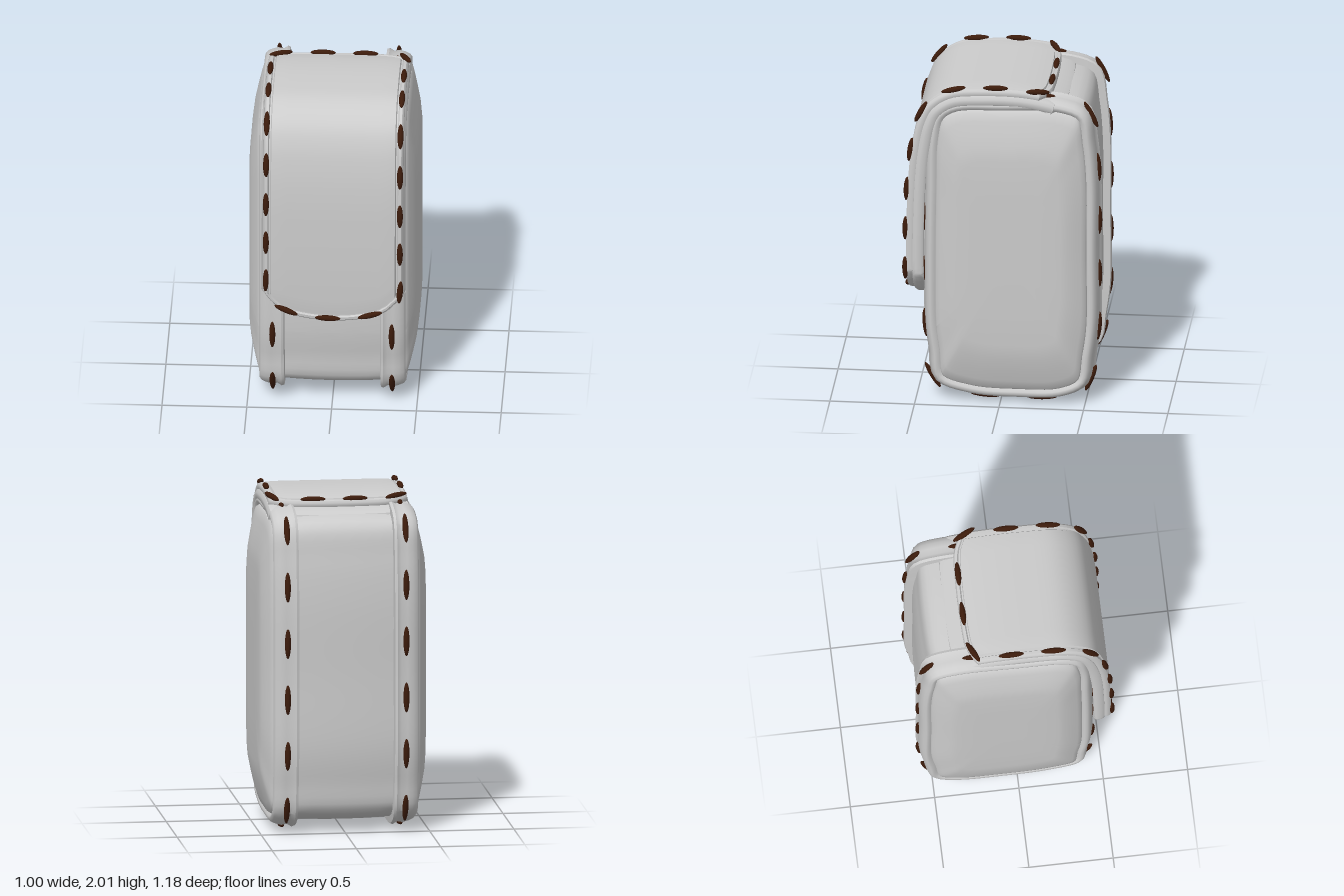
import * as THREE from 'three';
import { mergeVertices, toCreasedNormals } from 'three/addons/utils/BufferGeometryUtils.js';

const grey = new THREE.MeshStandardMaterial({ color: 0xcccccc, side: THREE.DoubleSide });
const thread = new THREE.MeshStandardMaterial({ color: 0x3d1c0c });

// Grid surface: fn(i, j) gives the point; i runs to the right, j runs up
function sheet(name, ni, nj, fn, crease = 0) {
  const pos = [], idx = [];
  for (let j = 0; j <= nj; j++) for (let i = 0; i <= ni; i++) pos.push(...fn(i, j).toArray());
  for (let j = 0; j < nj; j++) for (let i = 0; i < ni; i++) {
    const a = j * (ni + 1) + i, b = a + 1, d = a + ni + 1, c = d + 1;
    idx.push(a, b, c, a, c, d);
  }
  let geo = new THREE.BufferGeometry();
  geo.setAttribute('position', new THREE.Float32BufferAttribute(pos, 3));
  geo.setIndex(idx);
  geo = mergeVertices(geo, 1e-5);
  if (crease) geo = toCreasedNormals(geo, crease);
  else geo.computeVertexNormals();
  const mesh = new THREE.Mesh(geo, grey);
  mesh.name = name;
  return mesh;
}

// Path of [z, y] points; at(x, u, h) is a point at arc length u, raised by h
function rail(points, closed) {
  const curve = new THREE.CatmullRomCurve3(points.map(([z, y]) => new THREE.Vector3(0, y, z)), closed);
  curve.arcLengthDivisions = 800;
  const length = curve.getLength();
  const at = (x, u, h) => {
    const t = THREE.MathUtils.clamp(u / length, 0, 1);
    const p = curve.getPointAt(t), d = curve.getTangentAt(t);
    return new THREE.Vector3(x, p.y - d.z * h, p.z + d.y * h);
  };
  return { at, length };
}

// Evenly spaced thread stitches along a closed curve
function stitches(name, points, count, length) {
  const group = new THREE.Group();
  group.name = name;
  const curve = new THREE.CatmullRomCurve3(points, true);
  const geo = new THREE.SphereGeometry(1, 8, 8);
  for (let k = 0; k < count; k++) {
    const m = new THREE.Mesh(geo, thread);
    m.name = 'stitch';
    m.position.copy(curve.getPointAt(k / count));
    m.quaternion.setFromUnitVectors(new THREE.Vector3(0, 1, 0), curve.getTangentAt(k / count));
    m.scale.set(0.018, length / 2, 0.018);
    group.add(m);
  }
  return group;
}

// Padded flap layer with rounded ends; edge lists [inset, height] from the rim inwards
function flapLayer(name, path, W, lo, hi, edge) {
  const n = edge.length, mid = 14, long = 48;
  const ni = 2 * n + mid - 1, nj = 2 * n + long - 1;
  const spread = (k, total, inner, a, b) => {
    if (k < n) return a + edge[k][0];
    if (k > total - n) return b - edge[total - k][0];
    const d = edge[n - 1][0];
    return THREE.MathUtils.lerp(a + d, b - d, (k - n + 1) / (inner + 1));
  };
  return sheet(name, ni, nj, (i, j) => {
    const x = spread(i, ni, mid, -W, W);
    const u = spread(j, nj, long, lo(x), hi(x));
    const ring = Math.min(i, ni - i, j, nj - j, n - 1);
    return path.at(x + 0.01, u, edge[ring][1]);
  }, 0.7);
}

export function createModel() {
  const model = new THREE.Group();
  model.name = 'pouch';

  // Body outline seen from the side, going up the front and round the back
  const body = rail([
    [0.43, 0.46], [0.435, 0.8], [0.43, 1.3], [0.42, 1.65], [0.38, 1.81], [0.28, 1.88], [0, 1.9],
    [-0.36, 1.9], [-0.5, 1.84], [-0.54, 1.65], [-0.56, 1.4], [-0.56, 0.95], [-0.56, 0.5],
    [-0.535, 0.3], [-0.5, 0.12], [-0.36, 0.045], [-0.1, 0.03], [0.18, 0.045], [0.38, 0.12], [0.41, 0.3],
  ], true);
  const N = 120, L = body.length;

  // Centre band wrapping front, top, back and bottom
  const band = [-0.31, -0.2, -0.1, 0, 0.1, 0.2, 0.31];
  model.add(sheet('centreBand', band.length - 1, N, (i, j) =>
    body.at(band[i], j / N * L, -0.01 - 0.12 * band[i] ** 2)));

  // Raised seam rims and padded side panels
  const rim = [[0.28, -0.03], [0.285, 0.022], [0.3, 0.028], [0.325, 0.012], [0.36, 0.018], [0.395, 0.008],
    [0.42, -0.004], [0.432, -0.02], [0.43, -0.035], [0.415, -0.052]];
  const puff = [[1, 0.415], [0.985, 0.435], [0.93, 0.45], [0.85, 0.468], [0.76, 0.486], [0.66, 0.497],
    [0.4, 0.5], [0, 0.5]];
  for (const side of [1, -1]) {
    const label = side > 0 ? 'left' : 'right';
    const order = list => (side > 0 ? list : [...list].reverse());
    const r = order(rim), p = order(puff);
    model.add(sheet(label + 'SeamRim', r.length - 1, N, (i, j) =>
      body.at(side * r[i][0], j / N * L, r[i][1]), 0.8));
    model.add(sheet(label + 'SidePanel', p.length - 1, N, (i, j) => {
      const [s, x] = p[i];
      const v = body.at(0, j / N * L, -0.05);
      return new THREE.Vector3(side * x, 0.97 + (v.y - 0.97) * s, -0.065 + (v.z + 0.065) * s);
    }));
    const line = Array.from({ length: 80 }, (_, k) => body.at(side * 0.352, k / 80 * L, 0.018));
    model.add(stitches(label + 'SeamStitches', line, 16, 0.18));
  }

  // Flap: up the front, over the top and down at the back
  const flap = rail([
    [0.555, 0.58], [0.56, 0.9], [0.555, 1.2], [0.545, 1.42], [0.525, 1.6], [0.49, 1.76], [0.435, 1.87],
    [0.31, 1.955], [0.1, 1.98], [-0.12, 1.978], [-0.28, 1.955], [-0.41, 1.92],
  ], false);
  const corner = (x, W) => Math.max(0, (Math.abs(x) / W - 0.6) / 0.4) ** 2;
  const lowEnd = W => x => 0.1 * (x / W) ** 2 + 0.1 * corner(x, W);
  const highEnd = (W, back) => x => flap.length - back - 0.02 * (x / W) ** 2 - 0.06 * corner(x, W);

  const topLow = x => 0.03 + lowEnd(0.415)(x), topHigh = highEnd(0.415, 0.1);
  model.add(flapLayer('flapLining', flap, 0.425, x => 0.01 + lowEnd(0.425)(x), highEnd(0.425, 0),
    [[0.1, -0.1], [0.012, -0.105], [0, -0.09], [0, -0.06], [0.012, -0.042], [0.04, -0.035], [0.1, -0.035]]));
  model.add(flapLayer('flapCover', flap, 0.415, topLow, topHigh,
    [[0.01, -0.05], [0, -0.03], [0.004, -0.012], [0.014, -0.001], [0.03, 0], [0.036, -0.012],
      [0.044, -0.012], [0.05, 0], [0.1, 0.003]]));

  // Stitching round the flap edge
  const xs = [-0.39, -0.36, -0.3, -0.18, -0.03, 0.12, 0.25, 0.34, 0.39];
  const left = topLow(0.39) + 0.05, right = topHigh(0.39) - 0.05;
  const run = Array.from({ length: 20 }, (_, k) => THREE.MathUtils.lerp(left, right, k / 19));
  const outline = [
    ...xs.slice(4).map(x => [x, topLow(x) + 0.028]),
    ...run.map(u => [0.395, u]),
    ...[...xs].reverse().map(x => [x, topHigh(x) - 0.03]),
    ...[...run].reverse().map(u => [-0.395, u]),
    ...xs.slice(0, 4).map(x => [x, topLow(x) + 0.028]),
  ].map(([x, u]) => flap.at(x + 0.01, u, 0.004));
  model.add(stitches('flapStitches', outline, 21, 0.15));

  return model;
}
